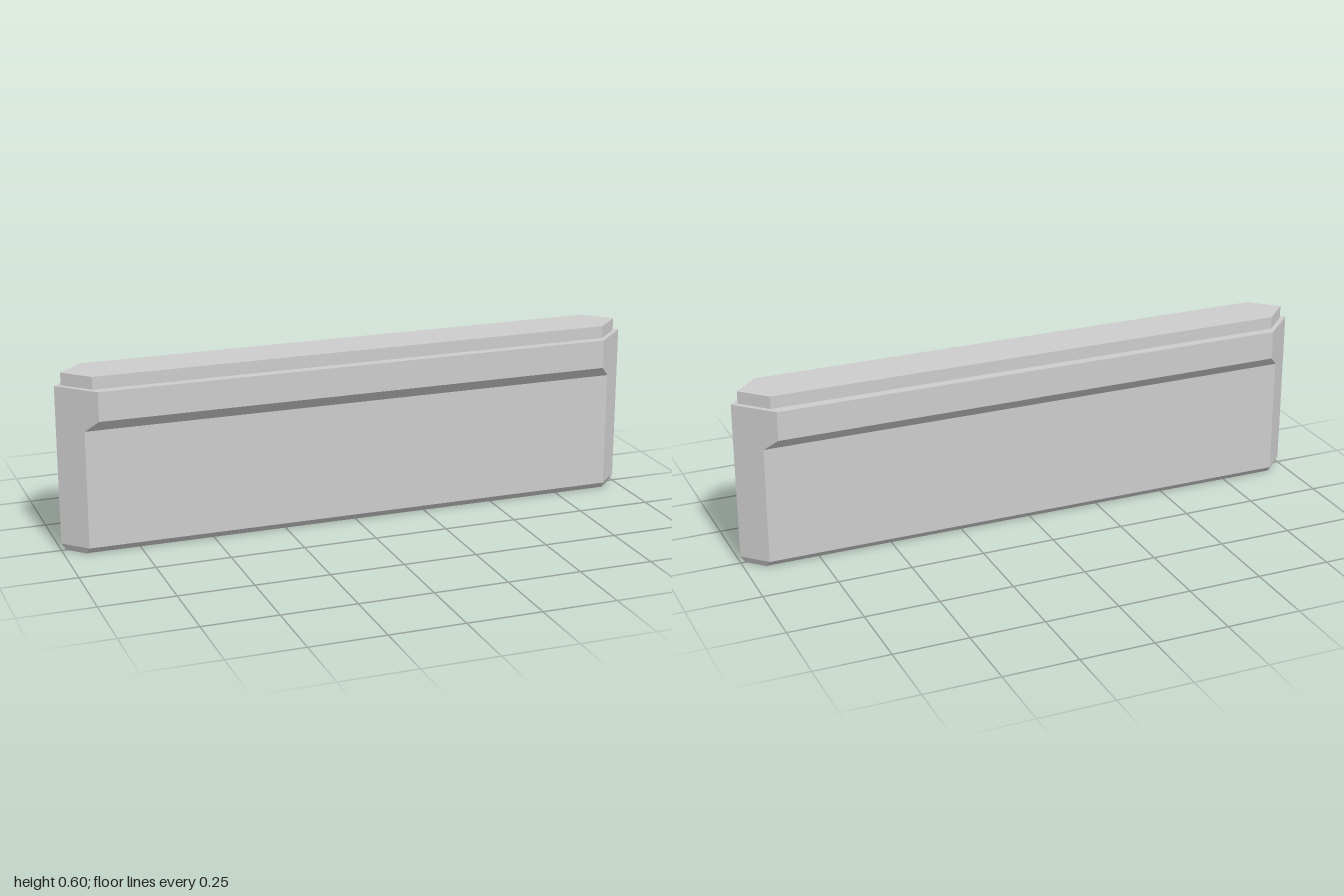
import * as THREE from 'three';

const stone = new THREE.MeshStandardMaterial({ color: 0xcccccc, flatShading: true });
stone.name = 'plain grey';

// Six-sided plan, long in x, with a pointed end on each side.
function ring({ y, halfDepth: d, corner: c, tip: t }) {
  return [[t, y, 0], [c, y, -d], [-c, y, -d], [-t, y, 0], [-c, y, d], [c, y, d]];
}

// Stacks rings from bottom to top and caps both ends.
function stackedWall(sections, name) {
  const rings = sections.map(ring);
  const positions = [];
  const tri = (...points) => points.forEach((p) => positions.push(...p));
  for (let k = 0; k < rings.length - 1; k++) {
    const lower = rings[k], upper = rings[k + 1];
    for (let i = 0; i < 6; i++) {
      const j = (i + 1) % 6;
      tri(lower[i], lower[j], upper[j]);
      tri(lower[i], upper[j], upper[i]);
    }
  }
  const bottom = rings[0], top = rings[rings.length - 1];
  for (let i = 1; i < 5; i++) {
    tri(bottom[0], bottom[i + 1], bottom[i]);
    tri(top[0], top[i], top[i + 1]);
  }
  const geometry = new THREE.BufferGeometry();
  geometry.setAttribute('position', new THREE.Float32BufferAttribute(positions, 3));
  geometry.computeVertexNormals();
  const mesh = new THREE.Mesh(geometry, stone);
  mesh.name = name;
  return mesh;
}

export function createModel() {
  const model = new THREE.Group();
  model.name = 'wallPanel';

  // Chamfered foot, slim body and the wider band with its sloped underside
  model.add(stackedWall([
    { y: 0, halfDepth: 0.053, corner: 0.931, tip: 0.984 },
    { y: 0.024, halfDepth: 0.076, corner: 0.924, tip: 1 },
    { y: 0.42, halfDepth: 0.076, corner: 0.924, tip: 1 },
    { y: 0.46, halfDepth: 0.115, corner: 0.885, tip: 1 },
    { y: 0.558, halfDepth: 0.115, corner: 0.885, tip: 1 },
  ], 'wallBody'));

  // Inset coping on top
  model.add(stackedWall([
    { y: 0.558, halfDepth: 0.083, corner: 0.895, tip: 0.978 },
    { y: 0.6, halfDepth: 0.083, corner: 0.895, tip: 0.978 },
  ], 'topCap'));

  return model;
}
